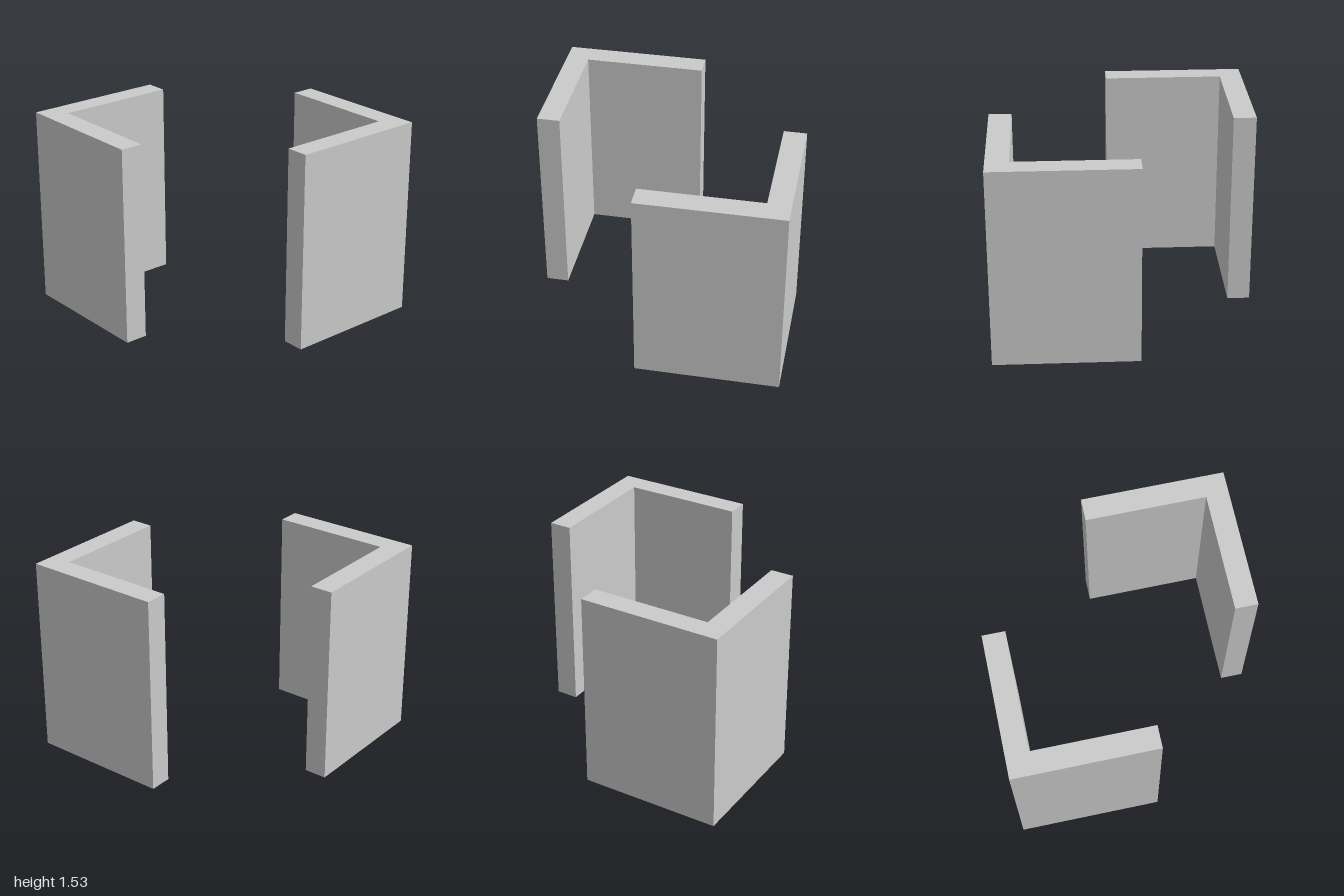
import * as THREE from 'three';

const HEIGHT = 1.527;
const INNER = 0.827; // inner face of each wall
const REACH = 0.088; // how far each wall runs past the centre

export function createModel() {
  const group = new THREE.Group();
  const material = new THREE.MeshStandardMaterial({ color: 0xcccccc, flatShading: true });

  // L-shaped footprint, drawn with shape y = -z
  const footprint = new THREE.Shape([
    [-1, -1], [REACH, -1], [REACH, -INNER], [-INNER, -INNER], [-INNER, REACH], [-1, REACH],
  ].map(([x, y]) => new THREE.Vector2(x, y)));
  const geometry = new THREE.ExtrudeGeometry(footprint, { depth: HEIGHT, bevelEnabled: false });
  geometry.rotateX(-Math.PI / 2);

  // Two identical corner walls, half a turn apart
  ['frontRightCornerWall', 'backLeftCornerWall'].forEach((name, i) => {
    const wall = new THREE.Mesh(geometry, material);
    wall.name = name;
    wall.rotation.y = i * Math.PI;
    group.add(wall);
  });
  return group;
}
